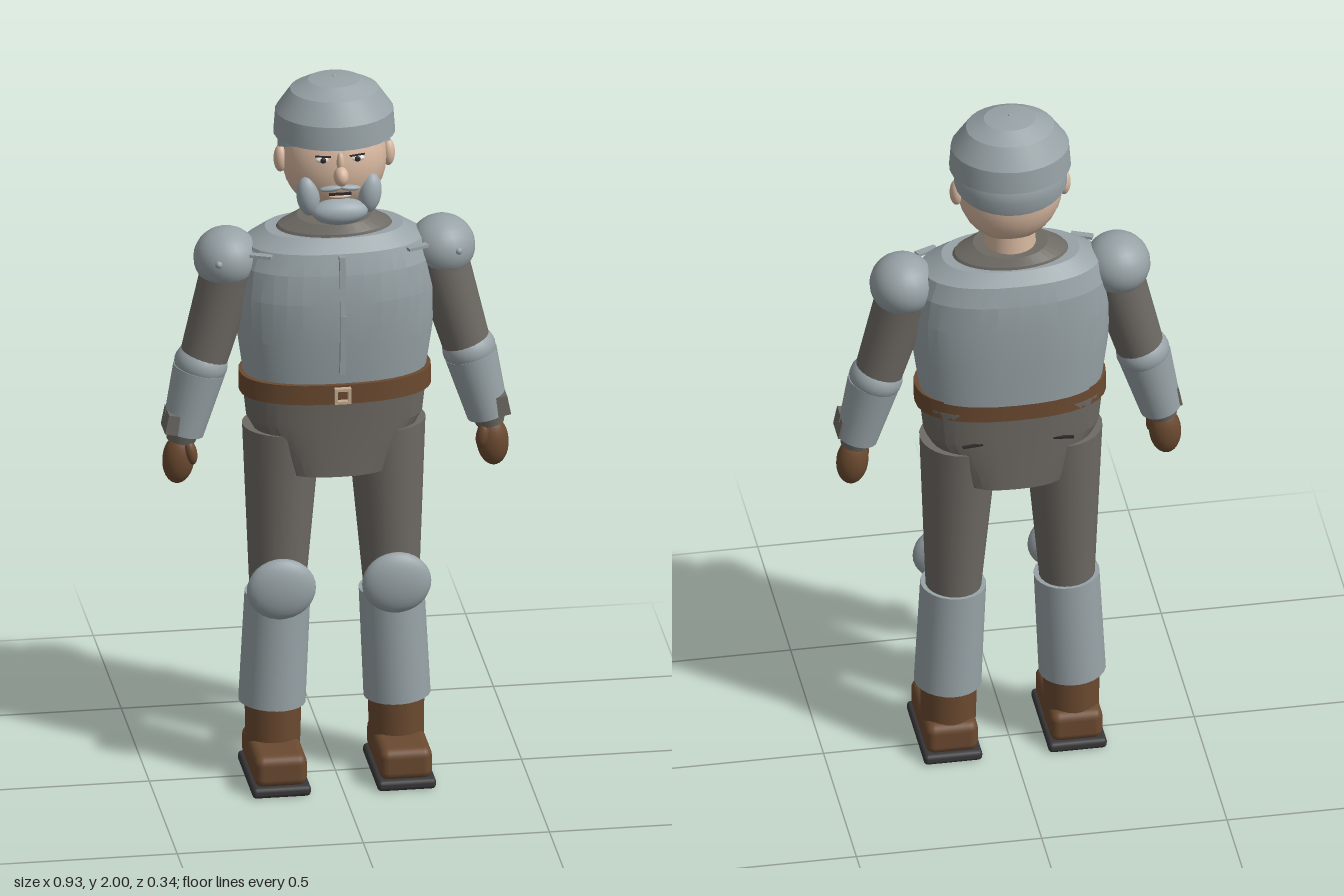
import * as THREE from 'three';
import { toCreasedNormals } from 'three/addons/utils/BufferGeometryUtils.js';
import { RoundedBoxGeometry } from 'three/addons/geometries/RoundedBoxGeometry.js';

const flat = (name, color) => {
  const m = new THREE.MeshStandardMaterial({ color });
  m.name = name;
  return m;
};

// Stack of rounded oval sections [y, halfWidth, halfDepth, centreZ], closed at both ends
function loft(sections, power = 2.35, seg = 36) {
  const pos = [], idx = [];
  const bend = (v) => Math.sign(v) * Math.abs(v) ** (2 / power);
  for (const [y, hx, hz, cz] of sections) {
    for (let j = 0; j < seg; j++) {
      const t = (j / seg) * Math.PI * 2;
      pos.push(bend(Math.cos(t)) * hx, y, cz + bend(Math.sin(t)) * hz);
    }
  }
  const last = sections.length - 1, bottom = pos.length / 3, top = bottom + 1;
  pos.push(0, sections[0][0], sections[0][3], 0, sections[last][0], sections[last][3]);
  for (let j = 0; j < seg; j++) {
    const k = (j + 1) % seg;
    for (let i = 0; i < last; i++) {
      const a = i * seg + j, b = i * seg + k;
      idx.push(a, a + seg, b, b, a + seg, b + seg);
    }
    idx.push(bottom, j, k, top, last * seg + k, last * seg + j);
  }
  const g = new THREE.BufferGeometry();
  g.setAttribute('position', new THREE.Float32BufferAttribute(pos, 3));
  g.setIndex(idx);
  return toCreasedNormals(g, 0.2);
}

export function createModel() {
  const model = new THREE.Group();
  model.name = 'armouredFigure';

  const armour = flat('armour', 0x98a3a7);
  const hair = flat('hair', 0x9eabb1);
  const cloth = flat('cloth', 0x6e6a64);
  const leather = flat('leather', 0x6b4a30);
  const soleDark = flat('sole', 0x38383a);
  const skin = flat('skin', 0xd8b8a0);
  const dark = flat('darkDetail', 0x30292a);
  const white = flat('eyeWhite', 0xe6e2dc);
  const buckleTan = flat('buckle', 0xc4ad90);

  const add = (name, mat, geo, p = [0, 0, 0], rot = [0, 0, 0]) => {
    const m = new THREE.Mesh(geo, mat);
    m.name = name;
    m.position.set(...p);
    m.rotation.set(...rot);
    model.add(m);
    return m;
  };
  const ball = (name, mat, p, r, rot) => {
    const g = new THREE.SphereGeometry(1, 24, 16);
    g.scale(...r);
    return add(name, mat, g, p, rot);
  };
  const box = (name, mat, p, size, rot) => add(name, mat, new THREE.BoxGeometry(...size), p, rot);
  const limb = (name, mat, a, b, ra, rb) => {
    const from = new THREE.Vector3(...a), to = new THREE.Vector3(...b);
    const d = to.clone().sub(from);
    const m = add(name, mat, new THREE.CylinderGeometry(rb, ra, d.length(), 24));
    m.position.copy(from).add(to).multiplyScalar(0.5);
    m.quaternion.setFromUnitVectors(new THREE.Vector3(0, 1, 0), d.normalize());
    return m;
  };

  // Torso: padded cloth, breastplate, belt and hips
  const chest = loft([
    [1.16, 0.245, 0.138, -0.022], [1.28, 0.262, 0.15, -0.018], [1.40, 0.268, 0.155, -0.017],
    [1.48, 0.258, 0.148, -0.02], [1.535, 0.238, 0.132, -0.022], [1.568, 0.185, 0.103, -0.024],
  ]);
  add('breastplate', armour, chest);
  add('paddedCollar', cloth, loft([
    [1.55, 0.17, 0.1, -0.024], [1.575, 0.15, 0.095, -0.024], [1.598, 0.10, 0.085, -0.024],
  ], 2));
  limb('neck', skin, [0, 1.55, -0.022], [0, 1.68, -0.02], 0.07, 0.066);
  box('breastplateRidge', armour, [0, 1.285, 0.125], [0.016, 0.17, 0.036], [0.04, 0, 0]);
  box('breastplateRidge', armour, [0, 1.45, 0.12], [0.016, 0.165, 0.036], [-0.08, 0, 0]);
  add('belt', leather, loft([[1.11, 0.257, 0.142, -0.014], [1.165, 0.257, 0.142, -0.014]]));
  for (const s of [-1, 1]) {
    box('buckleSide', buckleTan, [s * 0.018, 1.137, 0.133], [0.008, 0.044, 0.018]);
    box('buckleBar', buckleTan, [0, 1.137 + s * 0.018, 0.133], [0.044, 0.008, 0.018]);
  }
  add('hips', cloth, loft([
    [0.885, 0.155, 0.12, -0.028], [0.95, 0.19, 0.121, -0.028],
    [1.03, 0.235, 0.123, -0.027], [1.13, 0.246, 0.127, -0.025],
  ], 2.6));

  // Head and face
  ball('head', skin, [0, 1.765, -0.018], [0.14, 0.15, 0.115]);
  ball('nose', skin, [0, 1.757, 0.104], [0.02, 0.027, 0.026]);
  ball('noseBridge', skin, [0, 1.79, 0.09], [0.011, 0.03, 0.014]);
  ball('chinBeard', hair, [0, 1.647, 0.08], [0.076, 0.036, 0.038]);
  box('mouth', dark, [0, 1.7, 0.087], [0.06, 0.006, 0.008]);
  ball('lowerLip', skin, [0, 1.692, 0.083], [0.03, 0.007, 0.01]);
  for (const s of [-1, 1]) {
    ball('ear', skin, [s * 0.145, 1.768, -0.02], [0.018, 0.038, 0.022]);
    ball('eyeWhite', white, [s * 0.046, 1.8, 0.084], [0.02, 0.009, 0.009]);
    ball('pupil', dark, [s * 0.046, 1.8, 0.091], [0.008, 0.008, 0.004]);
    box('upperLid', dark, [s * 0.046, 1.81, 0.088], [0.042, 0.003, 0.006], [0, s * 0.25, 0]);
    box('eyebrow', dark, [s * 0.05, 1.831, 0.078], [0.045, 0.006, 0.008], [0, s * 0.3, s * -0.08]);
    ball('moustache', hair, [s * 0.026, 1.718, 0.09], [0.03, 0.008, 0.012], [0, s * 0.2, s * -0.15]);
    ball('sideWhisker', hair, [s * 0.083, 1.69, 0.065], [0.031, 0.056, 0.03], [0, 0, s * -0.12]);
  }

  // Helmet dome over a tilted skull cap
  const dome = new THREE.LatheGeometry([
    [0, 1.84], [0.163, 1.84], [0.158, 1.905], [0.118, 1.963], [0.07, 1.988], [0, 1.997],
  ].map(([r, y]) => new THREE.Vector2(r, y)), 28);
  dome.scale(1, 1, 0.89);
  add('helmet', armour, toCreasedNormals(dome, 0.25), [0, 0, -0.019]);
  ball('helmetStud', armour, [0, 1.996, -0.019], [0.005, 0.004, 0.005]);
  const cap = new THREE.LatheGeometry([
    [0, 0], [0.152, 0], [0.148, 0.04], [0.13, 0.08], [0.08, 0.11], [0, 0.12],
  ].map(([r, y]) => new THREE.Vector2(r, y)), 28);
  cap.scale(1, 1, 0.83);
  add('skullCap', armour, toCreasedNormals(cap, 0.7), [0, 1.8, -0.026], [-0.34, 0, 0]);

  for (const s of [-1, 1]) {
    // Arm
    ball('shoulderGuard', armour, [s * 0.29, 1.492, -0.018], [0.088, 0.084, 0.092]);
    ball('shoulderRivet', armour, [s * 0.322, 1.505, 0.063], [0.01, 0.01, 0.01]);
    box('shoulderStrap', armour, [s * 0.21, 1.527, 0.072], [0.06, 0.008, 0.02], [0, s * 0.4, 0]);
    limb('upperArm', cloth, [s * 0.356, 1.2, -0.008], [s * 0.28, 1.47, -0.014], 0.064, 0.076);
    ball('elbowGuard', armour, [s * 0.36, 1.195, -0.008], [0.072, 0.06, 0.073], [0, 0, s * 0.25]);
    limb('forearmGuard', armour, [s * 0.41, 1.005, 0], [s * 0.365, 1.18, -0.006], 0.056, 0.071);
    limb('wrist', cloth, [s * 0.416, 0.98, 0], [s * 0.41, 1.01, 0], 0.038, 0.046);
    box('forearmPatch', cloth, [s * 0.438, 1.042, 0.012], [0.044, 0.055, 0.078], [0, 0, s * 0.2]);
    ball('hand', leather, [s * 0.422, 0.928, 0.002], [0.043, 0.07, 0.037], [0, 0, s * 0.08]);
    ball('thumb', leather, [s * 0.392, 0.952, 0.022], [0.017, 0.036, 0.02], [0, 0, s * -0.2]);

    // Leg
    limb('trouserLeg', cloth, [s * 0.155, 0.45, -0.018], [s * 0.14, 1.0, -0.03], 0.07, 0.106);
    box('backPocketSlit', dark, [s * 0.11, 1.035, -0.143], [0.08, 0.006, 0.008], [0, s * 0.12, 0]);
    ball('kneeGuard', armour, [s * 0.155, 0.56, 0.066], [0.093, 0.086, 0.035]);
    limb('shinGuard', armour, [s * 0.168, 0.21, -0.016], [s * 0.153, 0.52, -0.016], 0.09, 0.088);

    // Boot
    limb('bootShaft', leather, [s * 0.167, 0.05, -0.015], [s * 0.165, 0.22, -0.015], 0.073, 0.076);
    add('bootFoot', leather, new RoundedBoxGeometry(0.142, 0.09, 0.26, 3, 0.025), [s * 0.168, 0.068, 0.03]);
    add('bootSole', soleDark, new RoundedBoxGeometry(0.158, 0.03, 0.28, 2, 0.012), [s * 0.168, 0.015, 0.03]);
  }
  return model;
}
